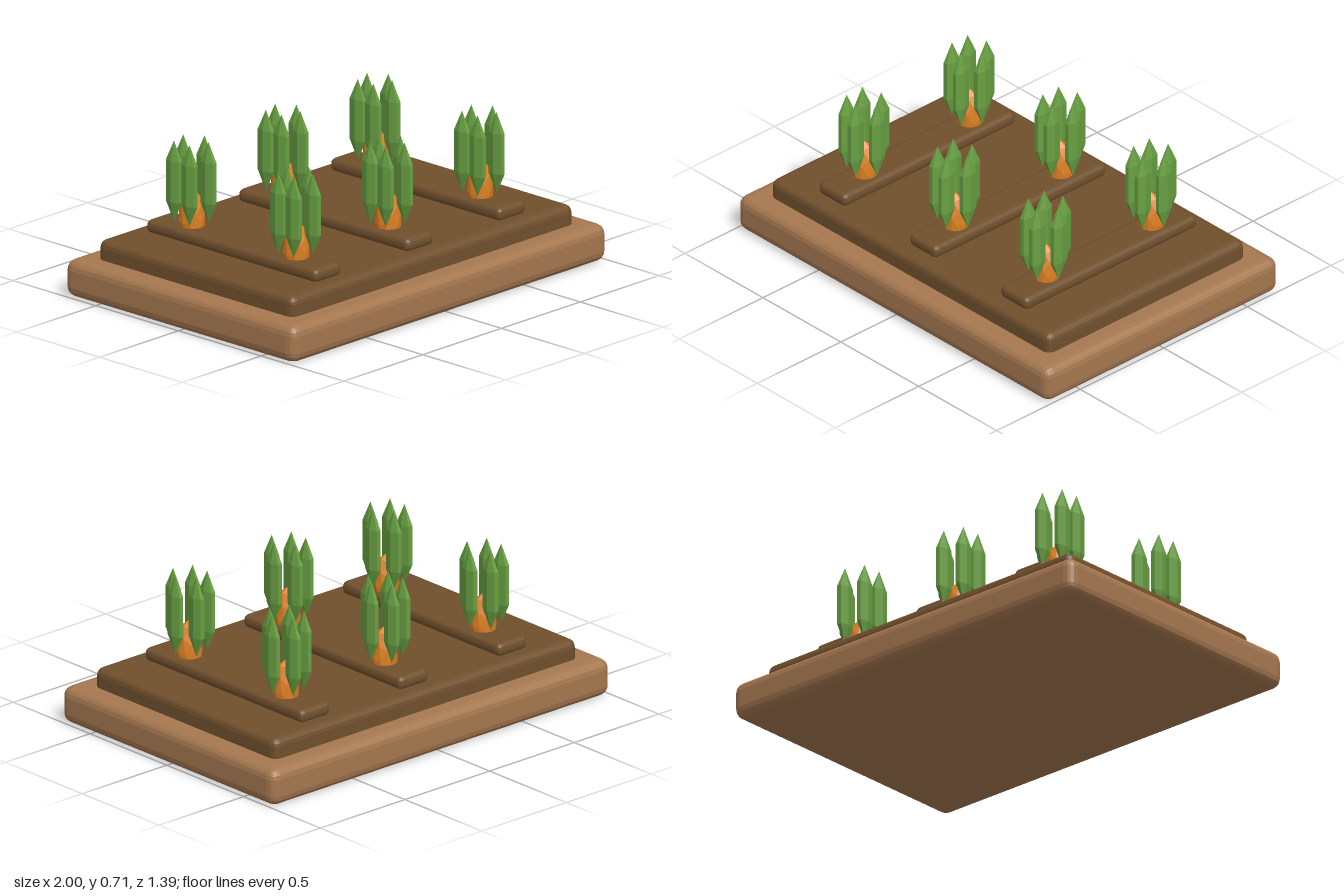
import * as THREE from 'three';
import { RoundedBoxGeometry } from 'three/addons/geometries/RoundedBoxGeometry.js';

const flat = (name, color) => {
  const m = new THREE.MeshStandardMaterial({ color, flatShading: true });
  m.name = name;
  return m;
};

export function createModel() {
  const wood = flat('wood brown', 0xa5774f);
  const soil = flat('soil brown', 0x70502d);
  const orange = flat('carrot orange', 0xdb7f22);
  const green = flat('leaf green', 0x68a042);

  const model = new THREE.Group();
  model.name = 'carrotPatch';

  const add = (parent, name, geometry, material, x, y, z) => {
    const mesh = new THREE.Mesh(geometry, material);
    mesh.name = name;
    mesh.position.set(x, y, z);
    parent.add(mesh);
    return mesh;
  };

  // Bevelled slab spanning bottom..top in height
  const slab = (name, width, bottom, top, depth, bevel, material, x = 0) =>
    add(model, name, new RoundedBoxGeometry(width, top - bottom, depth, 2, bevel),
      material, x, (bottom + top) / 2, 0);

  // Wooden base and the soil bed on it
  slab('base', 2, 0, 0.17, 1.39, 0.045, wood);
  slab('soilBed', 1.79, 0.1, 0.26, 1.18, 0.035, soil);

  // Carrot body: tall faceted ball, half buried in the ridge
  const rootGeometry = new THREE.IcosahedronGeometry(1, 1).scale(0.06, 0.145, 0.06);
  // Leaf: flattened prism with pointed ends
  const leafGeometry = new THREE.SphereGeometry(1, 6, 3).scale(0.025, 0.187, 0.052);

  for (const x of [-0.583, 0, 0.583]) {
    slab('ridge', 0.175, 0.253, 0.315, 1.03, 0.025, soil, x);

    for (const z of [-0.315, 0.315]) {
      const carrot = new THREE.Group();
      carrot.name = 'carrot';
      carrot.position.set(x, 0, z);
      model.add(carrot);
      add(carrot, 'root', rootGeometry, orange, 0, 0.335, 0);

      // Ring of five upright leaves
      for (let i = 0; i < 5; i++) {
        const a = (i / 5) * Math.PI * 2;
        add(carrot, 'leaf', leafGeometry, green, Math.cos(a) * 0.08, 0.522, Math.sin(a) * 0.08);
      }
    }
  }
  return model;
}
